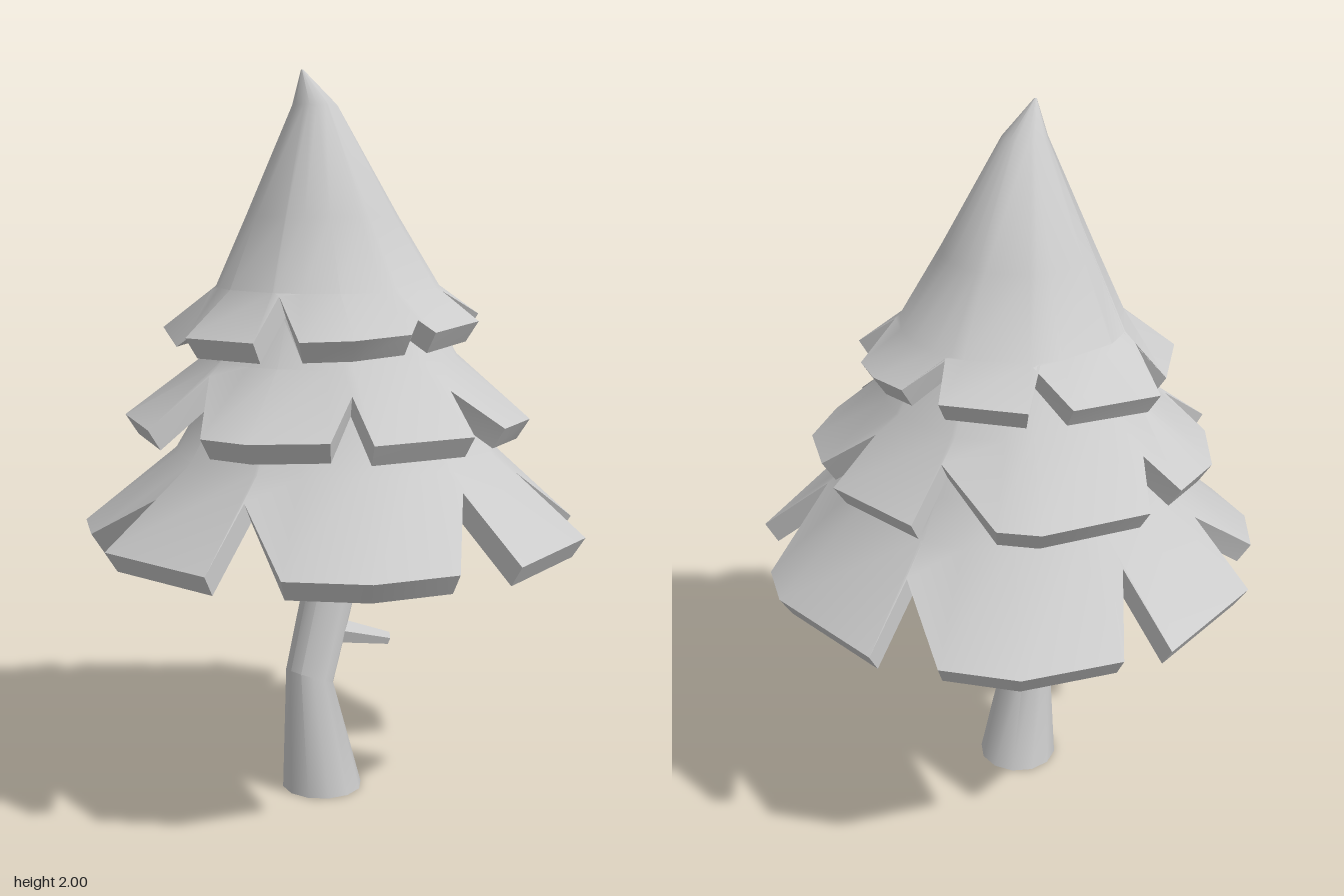
import * as THREE from 'three';
import { toCreasedNormals } from 'three/addons/utils/BufferGeometryUtils.js';

const material = new THREE.MeshStandardMaterial({ color: 0xcccccc });

// Skin a list of closed rings, each an array of [x, y, z]
function skin(rings, crease) {
  const n = rings[0].length;
  const index = [];
  for (let r = 0; r < rings.length - 1; r++) {
    for (let i = 0; i < n; i++) {
      const a = r * n + i, b = r * n + (i + 1) % n;
      index.push(b, a, a + n, b, a + n, b + n);
    }
  }
  const geo = new THREE.BufferGeometry();
  geo.setAttribute('position', new THREE.Float32BufferAttribute(rings.flat(2), 3));
  geo.setIndex(index);
  return toCreasedNormals(geo, crease);
}

function addMesh(group, name, geometry) {
  const mesh = new THREE.Mesh(geometry, material);
  mesh.name = name;
  group.add(mesh);
  return mesh;
}

// Foliage skirt: rim points are [x, z] on the edge, or [x, z, 1] at the tip of a notch.
// Levels above the rim are [y, radius, centreX, centreZ].
function skirt({ rim, y, tilt = 0, levels }) {
  const n = rim.length;
  const upper = levels.map(([ly, r, cx, cz]) => rim.map(([x, z]) => {
    const a = Math.atan2(z, x);
    return [cx + r * Math.cos(a), ly, cz + r * Math.sin(a)];
  }));
  // Notch tips climb along the slope between the neighbouring edge and the first level
  const edge = rim.map(([x, z, notch], i) => {
    const base = y - tilt * z;
    if (!notch) return [x, base, z];
    const [prev, next] = [rim[(i + n - 1) % n], rim[(i + 1) % n]];
    const outside = (Math.hypot(prev[0], prev[1]) + Math.hypot(next[0], next[1])) / 2;
    const [ux, uy, uz] = upper[0][i];
    const t = (outside - Math.hypot(x, z)) / (outside - Math.hypot(ux, uz));
    return [x, base + t * (uy - base), z];
  });
  const outer = [edge, ...upper];
  // Inner face is the outer one moved down and inwards
  const inner = outer.map(ring => ring.map(([x, py, z]) => {
    const s = Math.max(0.05, 1 - 0.035 / Math.max(Math.hypot(x, z), 0.04));
    return [x * s, py - 0.055, z * s];
  }));
  return skin([...inner.reverse(), ...outer], 0.5);
}

const lowerRim = [
  [0.5, 0, 1], [0.645, 0.15], [0.575, 0.37], [0.41, 0.52],
  [0.2, 0.47, 1], [0.257, 0.635], [-0.11, 0.688],
  [-0.09, 0.54, 1], [-0.31, 0.605], [-0.475, 0.52], [-0.575, 0.385],
  [-0.49, 0.21, 1], [-0.69, 0.175], [-0.69, -0.2],
  [-0.5, -0.15, 1], [-0.62, -0.31], [-0.47, -0.535], [-0.28, -0.625],
  [-0.09, -0.52, 1], [-0.11, -0.69], [0.26, -0.64], [0.38, -0.555],
  [0.4, -0.3, 1], [0.585, -0.38], [0.69, -0.02],
];
const middleRim = [
  [0.41, -0.04, 1], [0.54, 0], [0.475, 0.28],
  [0.34, 0.235, 1], [0.38, 0.34], [0.257, 0.505], [0.12, 0.545],
  [-0.04, 0.4, 1], [-0.075, 0.57], [-0.345, 0.465],
  [-0.28, 0.36, 1], [-0.405, 0.38], [-0.53, 0.215], [-0.545, 0.04],
  [-0.45, 0, 1], [-0.55, -0.11], [-0.405, -0.37], [-0.305, -0.425],
  [-0.1, -0.39, 1], [-0.12, -0.53], [0.17, -0.505],
  [0.14, -0.37, 1], [0.29, -0.425], [0.43, -0.32], [0.5, -0.15],
];
const upperRim = [
  [0.37, 0.04, 1], [0.39, 0.08], [0.355, 0.24], [0.26, 0.34],
  [0.13, 0.3, 1], [0.17, 0.415], [-0.06, 0.46], [-0.155, 0.38],
  [-0.2, 0.275, 1], [-0.3, 0.365], [-0.42, 0.14],
  [-0.33, 0.125, 1], [-0.475, 0.03], [-0.37, -0.2],
  [-0.24, -0.195, 1], [-0.3, -0.29], [-0.1, -0.395],
  [-0.035, -0.29, 1], [0.03, -0.385], [0.14, -0.37], [0.235, -0.315],
  [0.25, -0.16, 1], [0.35, -0.2], [0.415, 0.02],
];

export function createModel() {
  const tree = new THREE.Group();
  tree.name = 'tree';

  // Three overlapping skirts of foliage
  addMesh(tree, 'lowerFoliage', skirt({
    rim: lowerRim, y: 0.77,
    levels: [[0.98, 0.445, 0, 0], [1.08, 0.38, -0.01, 0], [1.25, 0.29, 0, 0], [1.42, 0.003, 0, 0]],
  }));
  addMesh(tree, 'middleFoliage', skirt({
    rim: middleRim, y: 1.08,
    levels: [[1.24, 0.35, -0.01, 0.01], [1.48, 0.22, -0.01, 0.02], [1.55, 0.003, -0.01, 0.04]],
  }));
  // Top skirt flares at the rim and ends in a tip bent forwards
  addMesh(tree, 'topFoliage', skirt({
    rim: upperRim, y: 1.335, tilt: 0.05,
    levels: [[1.43, 0.305, -0.01, 0.02], [1.62, 0.205, -0.01, 0.04],
      [1.91, 0.06, -0.01, 0.065], [2, 0.003, -0.01, 0.108]],
  }));

  // Crooked trunk with leaning sections: [y, radius, centreX, centreZ, lean]
  const sides = 12;
  const trunkLevels = [
    [0, 0.001, -0.015, 0.04, 0], [0, 0.113, -0.015, 0.04, 0], [0.335, 0.067, -0.012, 0.087, 0.4],
    [0.68, 0.072, -0.024, -0.027, 0.6], [1.3, 0.06, -0.025, -0.03, 0], [1.3, 0.001, -0.025, -0.03, 0],
  ];
  addMesh(tree, 'trunk', skin(trunkLevels.map(([y, r, cx, cz, lean]) =>
    Array.from({ length: sides }, (_, i) => {
      const a = (i / sides) * Math.PI * 2;
      const dz = r * Math.sin(a);
      return [cx + r * Math.cos(a), y + lean * dz, cz + dz];
    })), 0.6));

  // Short broken branch on the back of the trunk
  const from = new THREE.Vector3(-0.01, 0.452, 0);
  const to = new THREE.Vector3(0.04, 0.408, -0.16);
  const axis = to.clone().sub(from);
  const branch = addMesh(tree, 'branch', toCreasedNormals(
    new THREE.CylinderGeometry(0.02, 0.04, axis.length(), 6), 0.6));
  branch.position.copy(from).add(to).multiplyScalar(0.5);
  branch.quaternion.setFromUnitVectors(new THREE.Vector3(0, 1, 0), axis.normalize());

  return tree;
}
